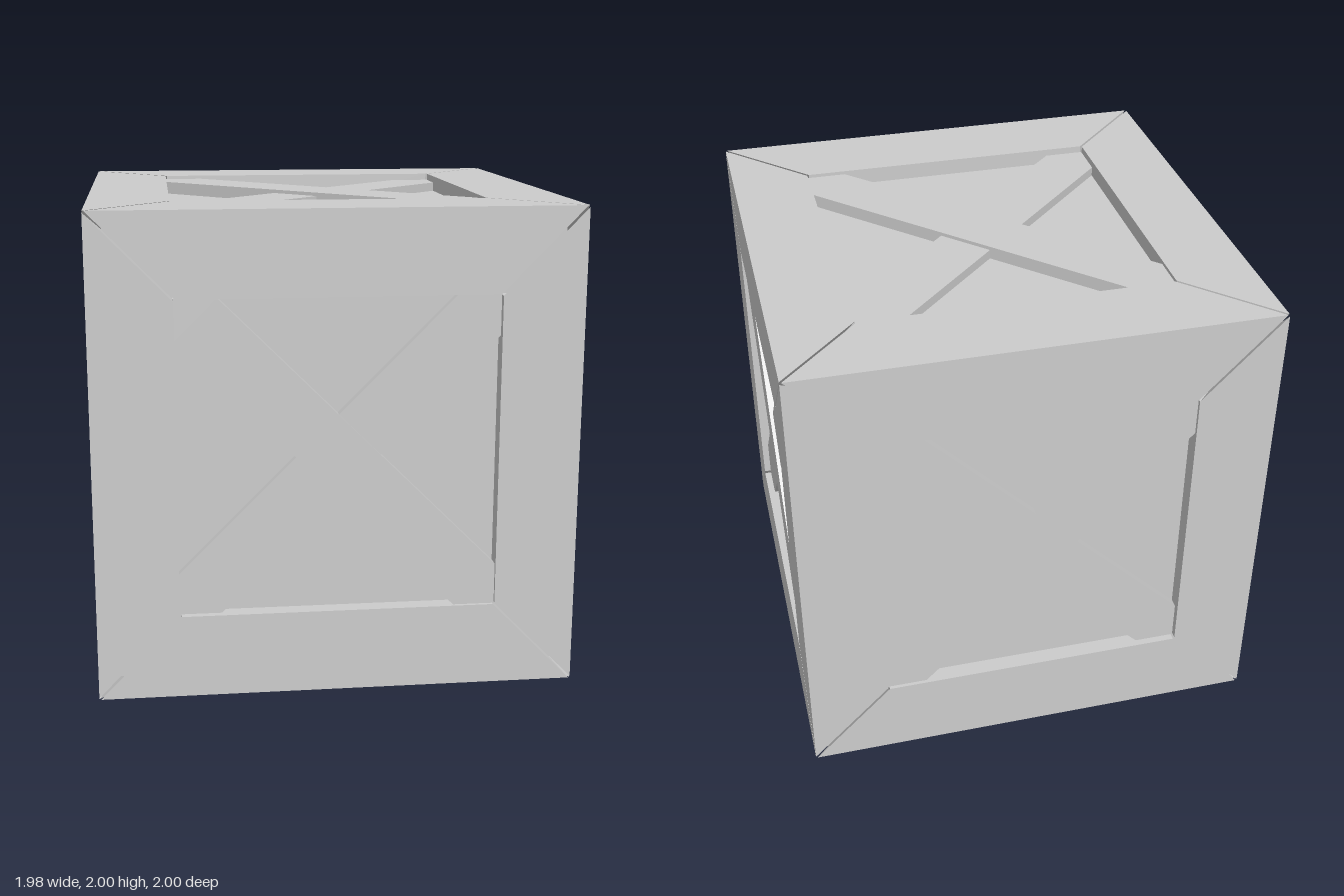
import * as THREE from 'three';

const HALF = [0.99, 1, 1];   // half extents of the crate
const INNER = 0.653;         // half width of each face opening
const PANEL = 0.07;          // panel recess
const GAP = 0.007;           // mitre gap at the beam ends
const BRACE = 0.172;         // half brace width measured along an opening edge

const material = new THREE.MeshStandardMaterial({ color: 0xcccccc, flatShading: true });

function addMesh(parent, geometry, name) {
  const mesh = new THREE.Mesh(geometry, material);
  mesh.name = name;
  parent.add(mesh);
  return mesh;
}

// Square beam along one axis with ends mitred towards the cube corners
function beamGeometry(axis, signA, signB) {
  const a = (axis + 1) % 3, b = (axis + 2) % 3;
  const box = new THREE.BoxGeometry(2, 2, 2);
  const pos = box.attributes.position;
  for (let i = 0; i < pos.count; i++) {
    const v = [pos.getX(i), pos.getY(i), pos.getZ(i)];
    const outA = v[a] * signA > 0, outB = v[b] * signB > 0;
    const end = outA && outB ? HALF[axis] : INNER;
    const p = [0, 0, 0];
    p[axis] = Math.sign(v[axis]) * (end - GAP);
    p[a] = signA * (outA ? HALF[a] : INNER);
    p[b] = signB * (outB ? HALF[b] : INNER);
    pos.setXYZ(i, ...p);
  }
  const flat = box.toNonIndexed();
  flat.computeVertexNormals();
  return flat;
}

// Diagonal plank from top left to bottom right, clipped by the opening
function braceGeometry(depth, mirror) {
  const m = INNER + 0.002, w = BRACE;
  const points = [[-m, m - w], [m - w, -m], [m, -m], [m, w - m], [w - m, m], [-m, m]];
  const shape = new THREE.Shape(points.map(([x, y]) => new THREE.Vector2(mirror * x, y)));
  return new THREE.ExtrudeGeometry(shape, { depth, bevelEnabled: false });
}

export function createModel() {
  const crate = new THREE.Group();
  crate.name = 'crate';
  const body = new THREE.Group();
  body.name = 'crateBody';
  body.position.y = 1;
  crate.add(body);

  // Recessed panels of all six sides
  addMesh(body, new THREE.BoxGeometry(...HALF.map(h => 2 * (h - PANEL))), 'panels');

  // Twelve frame beams
  const frame = new THREE.Group();
  frame.name = 'frame';
  body.add(frame);
  for (let axis = 0; axis < 3; axis++)
    for (const sa of [-1, 1])
      for (const sb of [-1, 1])
        addMesh(frame, beamGeometry(axis, sa, sb), 'frameBeam');

  // Crossed braces on opposite pairs of sides
  const turns = [[0, Math.PI / 2, 0], [-Math.PI / 2, 0, 0], [0, 0, 0]];
  turns.forEach((turn, axis) => {
    const pair = new THREE.Group();
    pair.name = ['sideBraces', 'topAndBottomBraces', 'frontAndBackBraces'][axis];
    pair.rotation.set(...turn);
    body.add(pair);
    for (const side of [-1, 1]) {
      for (const [name, recess, mirror] of [['upperBrace', 0.015, 1], ['lowerBrace', 0.03, -1]]) {
        const depth = PANEL - recess;
        const mesh = addMesh(pair, braceGeometry(depth, mirror), name);
        mesh.position.z = side > 0 ? HALF[axis] - PANEL : -HALF[axis] + recess;
      }
    }
  });

  return crate;
}
